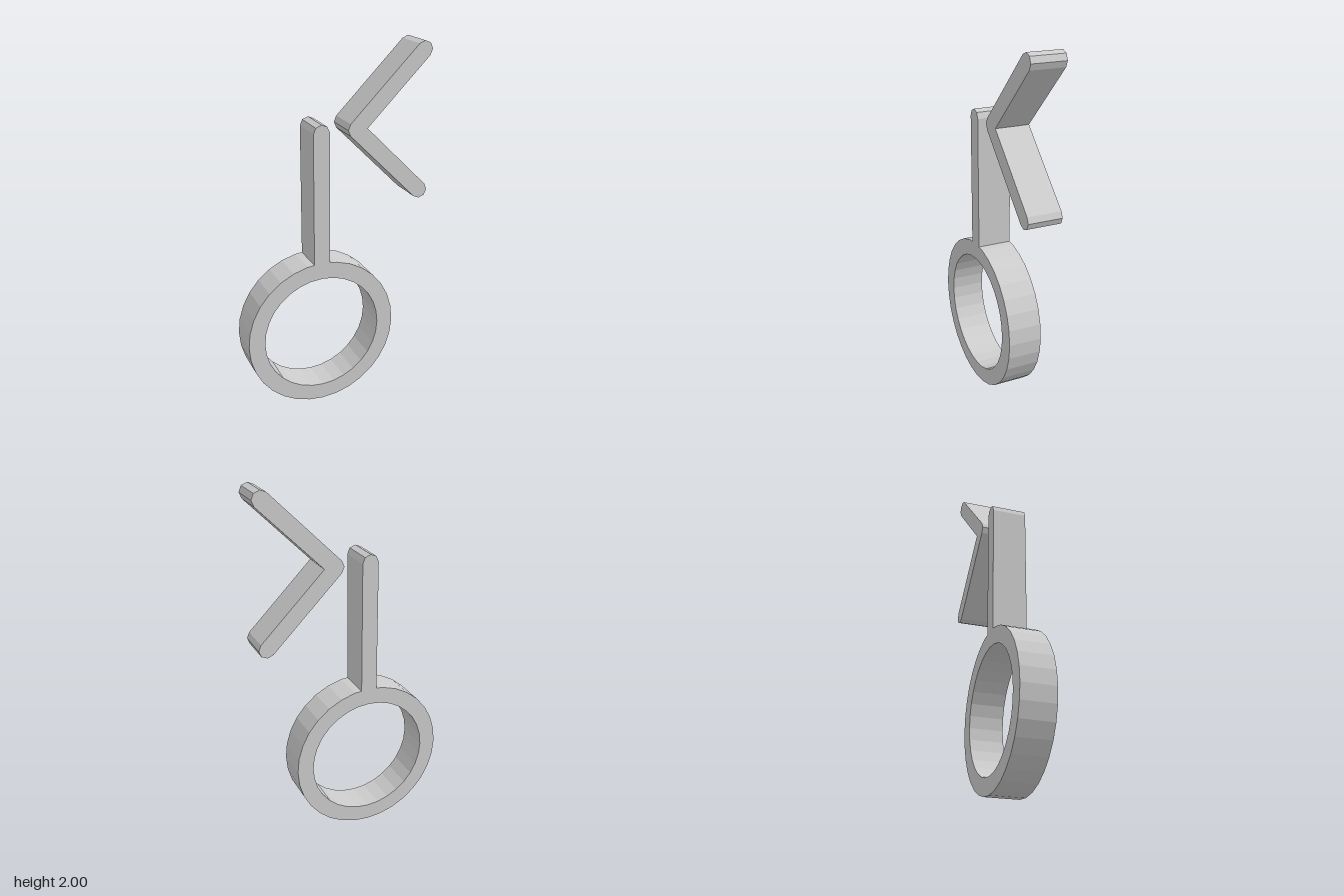
import * as THREE from 'three';

const DEPTH = 0.188;      // thickness along z
const HALF = 0.045;       // half the width of every bar
const AXIS = -0.097;      // x of ring and stem

export function createModel() {
  const group = new THREE.Group();
  const grey = new THREE.MeshStandardMaterial({ color: 0xcccccc });
  grey.name = 'light grey';

  // extrude a flat outline, centred on z = 0
  function addPlate(name, points, hole) {
    const shape = new THREE.Shape(points);
    if (hole) shape.holes.push(new THREE.Path(hole));
    const geometry = new THREE.ExtrudeGeometry(shape, { depth: DEPTH, bevelEnabled: false });
    geometry.translate(0, 0, -DEPTH / 2);
    const mesh = new THREE.Mesh(geometry, grey);
    mesh.name = name;
    group.add(mesh);
  }

  // points on an arc, angles in degrees
  function arc(cx, cy, r, from, to, steps) {
    return Array.from({ length: steps + 1 }, (_, i) => {
      const a = THREE.MathUtils.degToRad(from + (to - from) * i / steps);
      return new THREE.Vector2(cx + r * Math.cos(a), cy + r * Math.sin(a));
    });
  }

  // ring with a round-topped stem, as one outline
  const cy = 0.429, outer = 0.428, inner = 0.336, step = 360 / 32;
  const joinY = cy + outer - HALF * Math.tan(Math.PI / 32);
  addPlate('ringAndStem', [
    ...arc(AXIS, cy, outer, 90 + step, 450 - step, 30),
    new THREE.Vector2(AXIS + HALF, joinY),
    ...arc(AXIS, 1.575, HALF, 0, 180, 4),
    new THREE.Vector2(AXIS - HALF, joinY),
  ], arc(AXIS, cy, inner, 360, step, 31));

  // chevron with rounded tips and a rounded elbow
  const midY = 1.575, elbowX = 0.095, tipX = 0.475, reach = 0.38;
  addPlate('chevron', [
    ...arc(elbowX, midY, HALF, 135, 225, 2),
    ...arc(tipX, midY - reach, HALF, 225, 405, 4),
    new THREE.Vector2(elbowX + HALF * Math.SQRT2, midY),
    ...arc(tipX, midY + reach, HALF, -45, 135, 4),
  ]);

  return group;
}
